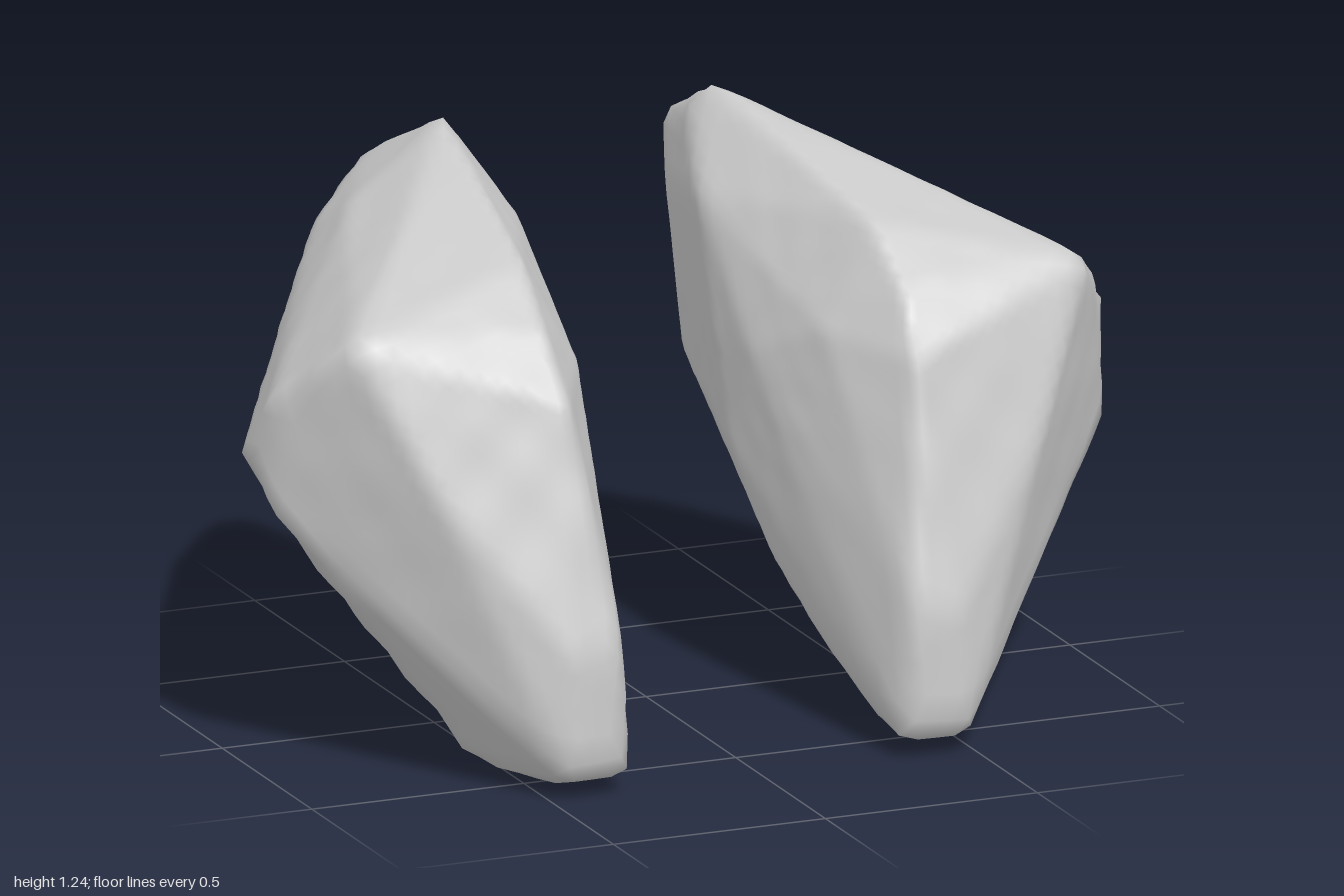
import * as THREE from 'three';
import { ConvexGeometry } from 'three/addons/geometries/ConvexGeometry.js';
import { mergeVertices } from 'three/addons/utils/BufferGeometryUtils.js';

// Corner points of one wedge-shaped rock, grouped by region
const tip = [
  [0.32, 0.05, 0.68], [0.47, 0.05, 0.69], [0.35, 0.03, 0.5], [0.51, -0.01, 0.48],
  [0.6, 0.06, 0.4], [0.42, 0.07, 0.27], [0.34, 0.33, 0.68], [0.46, 0.32, 0.68],
];
const frontFace = [
  [0.39, 0.42, 0.63], [0.41, 0.86, 0.54], [0.72, 0.68, 0.53],
  [0.42, 1.0, 0.43], [0.87, 1.01, 0.41], [0.41, 1.11, 0.28],
];
const outerRidge = [
  [0.7, 0.21, 0.38], [0.82, 0.39, 0.3], [0.98, 0.59, 0.23], [1.01, 0.7, 0.12], [0.98, 0.85, 0.22],
  [0.9, 0.78, 0.0], [0.83, 0.78, -0.13], [0.72, 0.78, -0.28], [0.59, 0.82, -0.5],
];
const roof = [
  [0.32, 1.25, -0.38], [0.35, 1.21, -0.17], [0.27, 1.19, -0.4], [0.6, 1.13, 0.05],
  [0.58, 1.1, -0.3], [0.59, 1.0, -0.48],
];
const backEnd = [
  [0.4, 1.1, -0.65], [0.31, 1.12, -0.64], [0.43, 0.9, -0.68], [0.34, 0.92, -0.69], [0.36, 0.73, -0.64],
];
const innerFace = [
  [0.2, 0.54, 0], [0.2, 0.8, -0.1], [0.21, 1.06, -0.22], [0.25, 0.66, -0.39], [0.25, 1.0, -0.48],
  [0.24, 0.33, 0.14], [0.28, 0.2, 0.28], [0.21, 0.78, 0.1], [0.38, 0.21, 0], [0.34, 0.44, -0.27],
  [0.26, 0.4, 0.37], [0.29, 0.88, 0.3],
];
const corners = [...tip, ...frontFace, ...outerRidge, ...roof, ...backEnd, ...innerFace];

// Flat planes of the hull around the corner points
function hullPlanes(side) {
  const hull = new ConvexGeometry(corners.map(([x, y, z]) => new THREE.Vector3(x * side, y, z)));
  const p = hull.attributes.position;
  const planes = [];
  for (let i = 0; i < p.count; i += 3) {
    const [a, b, c] = [0, 1, 2].map((k) => new THREE.Vector3().fromBufferAttribute(p, i + k));
    planes.push(new THREE.Plane().setFromCoplanarPoints(a, b, c));
  }
  return planes;
}

// A ball pushed out onto the hull, with a faint unevenness and a worn-off tip
function rockGeometry(side, lowest) {
  const planes = hullPlanes(side);
  const centre = new THREE.Vector3(0.47 * side, 0.7, 0.03);
  const ball = new THREE.IcosahedronGeometry(1, 18);
  ball.deleteAttribute('normal');
  ball.deleteAttribute('uv');
  const geometry = mergeVertices(ball, 1e-4);
  const pos = geometry.attributes.position;
  const dir = new THREE.Vector3();
  for (let i = 0; i < pos.count; i++) {
    dir.fromBufferAttribute(pos, i);
    dir.z *= 1.5;
    dir.y *= 1.3;
    dir.normalize();
    let reach = Infinity;
    for (const plane of planes) {
      const slope = plane.normal.dot(dir);
      if (slope > 1e-6) reach = Math.min(reach, -plane.distanceToPoint(centre) / slope);
    }
    const bump = Math.sin(dir.x * 16 * side) * Math.sin(dir.y * 15 + 1) * Math.sin(dir.z * 14 + 0.5);
    dir.multiplyScalar(reach * (1 + 0.004 * bump)).add(centre);
    pos.setXYZ(i, dir.x, Math.max(dir.y, lowest), dir.z);
  }
  geometry.computeVertexNormals();
  return geometry;
}

export function createModel() {
  const group = new THREE.Group();
  const material = new THREE.MeshStandardMaterial({ color: 0xcccccc });
  const leftRock = new THREE.Mesh(rockGeometry(1, 0), material);
  leftRock.name = 'leftRock';
  const rightRock = new THREE.Mesh(rockGeometry(-1, 0.025), material);
  rightRock.name = 'rightRock';
  group.add(leftRock, rightRock);
  return group;
}
